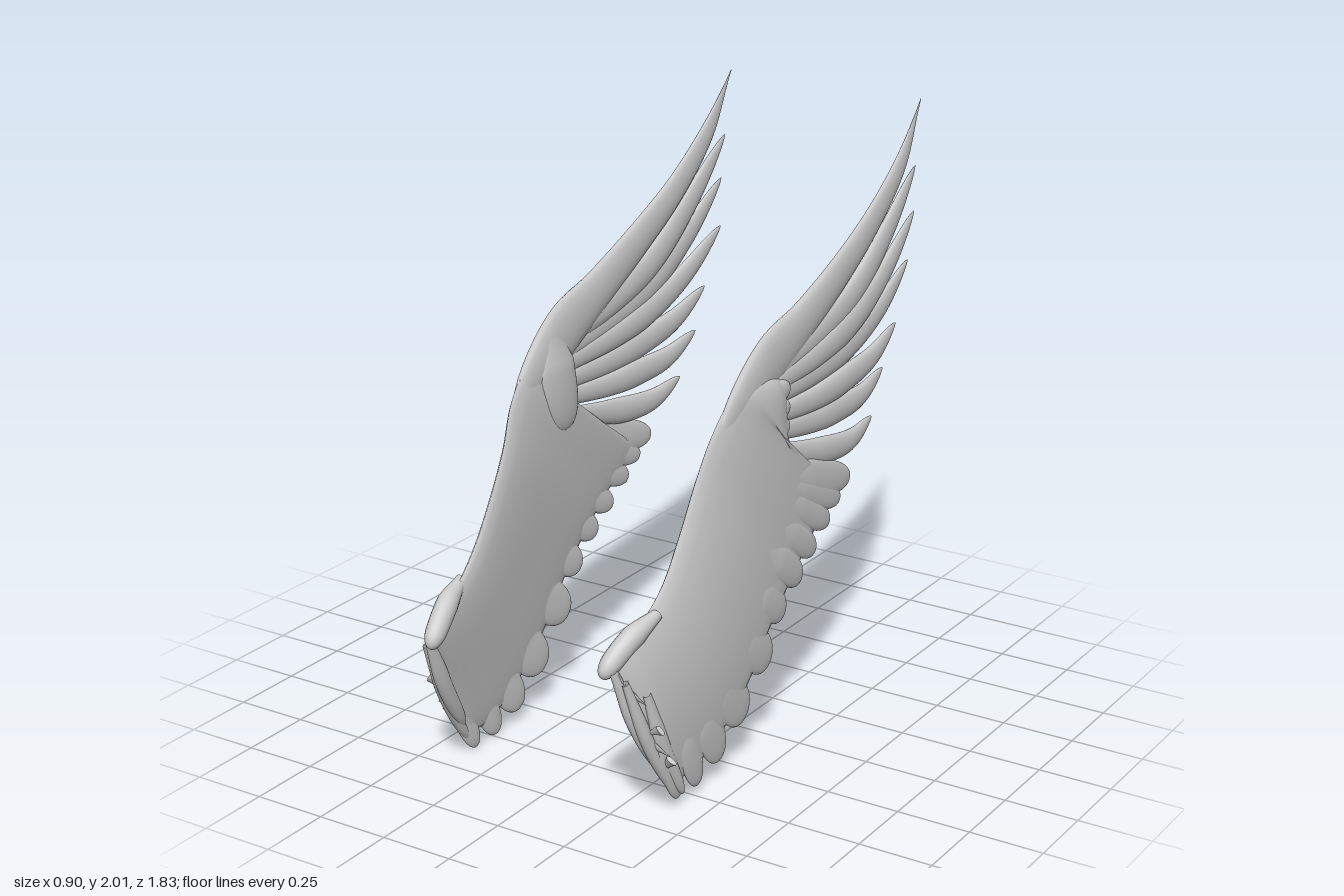
import * as THREE from 'three';

const V = (x, y, z) => new THREE.Vector3(x, y, z);
const material = new THREE.MeshStandardMaterial({ color: 0xcccccc, side: THREE.DoubleSide });
const RING = 20;

// Skin a row of lens-shaped sections, each { lead, trail, thick, thin, camber }
function loft(sections, side) {
  const pos = [], index = [];
  for (const { lead, trail, thick, thin = 0, camber = 0 } of sections) {
    for (let j = 0; j < RING; j++) {
      const a = (j / RING) * Math.PI * 2, u = (1 - Math.cos(a)) / 2;
      const p = lead.clone().lerp(trail, u);
      const x = p.x + thick * Math.sin(a) * (1 - thin * u) + camber * Math.sin(Math.PI * u);
      pos.push(side * x, p.y, p.z);
    }
  }
  for (let i = 0; i < sections.length - 1; i++) {
    for (let j = 0; j < RING; j++) {
      const a = i * RING + j, b = i * RING + (j + 1) % RING, c = a + RING, d = b + RING;
      if (side > 0) index.push(a, b, c, b, d, c);
      else index.push(a, c, b, b, c, d);
    }
  }
  const g = new THREE.BufferGeometry();
  g.setAttribute('position', new THREE.Float32BufferAttribute(pos, 3));
  g.setIndex(index);
  g.computeVertexNormals();
  return g;
}

// Flat feather following a path; width(t) is the half width
function blade(points, width, thick, side, steps = 28) {
  const curve = new THREE.CatmullRomCurve3(points);
  const sections = [];
  for (let i = 0; i <= steps; i++) {
    const t = 1 - (1 - i / steps) ** 1.4;
    const c = curve.getPoint(t), d = curve.getTangent(t);
    const n = V(0, -d.z, d.y).normalize(), w = width(t);
    sections.push({
      lead: c.clone().addScaledVector(n, w),
      trail: c.clone().addScaledVector(n, -w),
      thick: thick * Math.min(1, w / width(0.4)),
    });
  }
  return loft(sections, side);
}

const pointed = (w) => (t) => w * Math.min(1, 0.6 + t) * Math.pow(Math.max(0, 1 - t ** 4.5), 0.7);
const blunt = (w) => (t) => w * Math.min(1, 0.5 + 1.5 * t) * Math.sqrt(Math.max(0, 1 - t ** 5));

function buildWing(side) {
  const wing = new THREE.Group();
  const add = (name, geometry) => {
    const m = new THREE.Mesh(geometry, material);
    m.name = name;
    wing.add(m);
    return m;
  };

  // Covert panel: leading and trailing edge from the root to the wrist
  const leadEdge = new THREE.CatmullRomCurve3([
    V(0.32, 0.56, 0.86), V(0.335, 0.63, 0.78), V(0.345, 0.67, 0.68), V(0.352, 0.74, 0.6),
    V(0.355, 0.87, 0.51), V(0.36, 1.03, 0.42), V(0.375, 1.15, 0.36), V(0.385, 1.23, 0.29),
    V(0.395, 1.27, 0.2), V(0.405, 1.275, 0.1), V(0.41, 1.25, 0.01)]);
  const trailEdge = new THREE.CatmullRomCurve3([
    V(0.395, 0.1, 0.64), V(0.4, 0.08, 0.53), V(0.41, 0.13, 0.39), V(0.42, 0.25, 0.22),
    V(0.425, 0.41, 0.08), V(0.428, 0.53, -0.04), V(0.428, 0.64, -0.17), V(0.425, 0.77, -0.32),
    V(0.425, 0.95, -0.06), V(0.42, 1.07, -0.02), V(0.42, 1.18, -0.02)]);
  const panel = [];
  for (let i = 0; i <= 60; i++) {
    const t = i / 60;
    const close = Math.sqrt(Math.max(0, Math.min(1, t * 14, (1 - t) * 12)));
    panel.push({
      lead: leadEdge.getPoint(t), trail: trailEdge.getPoint(t),
      thick: 0.042 * close, thin: 0.55, camber: 0.016 * (1 - t),
    });
  }
  add('covertPanel', loft(panel, side));

  // Scalloped secondaries, buried in the panel until their tips: [start y, z, tip y, z, half width]
  [[0.3, 0.7, 0.02, 0.58, 0.045], [0.28, 0.58, 0.02, 0.47, 0.055], [0.3, 0.49, 0.06, 0.34, 0.07],
    [0.38, 0.4, 0.15, 0.2, 0.085], [0.48, 0.27, 0.29, 0.06, 0.08], [0.6, 0.17, 0.43, -0.02, 0.065],
    [0.7, 0.1, 0.52, -0.12, 0.06], [0.77, 0.04, 0.59, -0.21, 0.055], [0.85, 0.0, 0.66, -0.3, 0.055],
    [0.9, 0.0, 0.72, -0.37, 0.055], [0.92, 0.0, 0.775, -0.435, 0.065]].forEach(([y0, z0, y1, z1, w], i) => {
    const x = 0.398 + 0.005 * Math.min(6, i);
    add('secondaryFeather', blade([V(x + 0.002, y0, z0), V(x + 0.002, (y0 + y1) / 2 - 0.005, (z0 + z1) / 2),
      V(x, y1, z1)], blunt(w), 0.014, side, 18));
  });

  // Leading primary, broad at the wrist and drawn out to the wing tip
  const wide = new THREE.SplineCurve([0.015, 0.07, 0.1, 0.08, 0.066, 0.054, 0.038, 0.002]
    .map((w, i) => new THREE.Vector2(i / 7, w)));
  add('leadingPrimary', blade([V(0.38, 1.06, 0.37), V(0.388, 1.19, 0.24), V(0.398, 1.31, 0.06), V(0.405, 1.39, -0.13),
    V(0.41, 1.5, -0.36), V(0.41, 1.625, -0.58), V(0.41, 1.78, -0.77), V(0.405, 1.97, -0.91)],
  (t) => wide.getPoint(t).y, 0.026, side, 44));

  // Fanned primaries: [base y, mid y, mid z, tip y, tip z, half width]
  [[1.27, 1.415, -0.46, 1.75, -0.875, 0.057], [1.23, 1.33, -0.46, 1.597, -0.86, 0.055],
    [1.19, 1.245, -0.45, 1.43, -0.84, 0.053], [1.13, 1.135, -0.42, 1.232, -0.75, 0.051],
    [1.075, 1.035, -0.38, 1.09, -0.68, 0.049], [1.01, 0.915, -0.32, 0.943, -0.595, 0.048]].forEach(
    ([y0, y1, z1, y2, z2, w], i) => {
      const x = 0.41 + 0.008 * (i % 2);
      add('primaryFeather', blade([V(0.405, y0, 0.05), V(x, (y0 + y1) / 2 - 0.012, z1 / 2), V(x + 0.004, y1, z1),
        V(x + 0.004, (y1 + y2) / 2 - 0.022, (z1 + z2) / 2), V(x, y2, z2)], pointed(w), 0.02, side));
    });

  // Low covert lobes over the quill bases on the outer face
  for (let i = 0; i < 4; i++) {
    const y = 1.21 - i * 0.062;
    add('wristCovert', blade([V(0.405, y + 0.01, 0.14), V(0.418, y, 0.05), V(0.422, y - 0.005, -0.035)],
      blunt(0.042), 0.018, side, 14));
  }

  // Tongue-shaped covert patch on the inner face
  add('innerCovert', blade([V(0.385, 1.32, 0.13), V(0.375, 1.16, 0.12), V(0.378, 0.98, 0.07)],
    blunt(0.09), 0.026, side, 20));

  // Rounded shoulder at the root, running into the leading edge
  add('shoulder', blade([V(0.362, 0.66, 0.65), V(0.34, 0.62, 0.745), V(0.318, 0.56, 0.83), V(0.31, 0.52, 0.875)],
    blunt(0.04), 0.036, side, 20));

  // Slim feathers folded along the root edge
  [[0.335, 0.54, 0.85, 0.385, 0.13, 0.65, 0.03], [0.365, 0.5, 0.83, 0.4, 0.06, 0.62, 0.025],
    [0.39, 0.44, 0.75, 0.408, 0.03, 0.57, 0.03]].forEach(([x0, y0, z0, x1, y1, z1, w]) => {
    add('rootFeather', blade([V(x0, y0, z0), V((x0 + x1) / 2, (y0 + y1) / 2 - 0.02, (z0 + z1) / 2 + 0.005),
      V(x1, y1, z1)], blunt(w), 0.02, side, 18));
  });

  // Ragged tufts down the root edge
  [[0.35, 0.49, 0.82, 0.5], [0.38, 0.44, 0.79, 0.9], [0.405, 0.31, 0.74, -1.0],
    [0.415, 0.24, 0.71, 1.0], [0.41, 0.17, 0.67, -0.7]].forEach(([x, y, z, turn]) => {
    const tuft = add('rootTuft', new THREE.ConeGeometry(0.02, 0.08, 8));
    tuft.scale.z = 0.45;
    tuft.position.set(side * x, y, z);
    tuft.rotation.set(0.4, 0, side * (Math.PI + turn));
  });
  return wing;
}

export function createModel() {
  const model = new THREE.Group();
  model.name = 'wingPair';
  const left = buildWing(1);
  left.name = 'leftWing';

  // The opposite wing is mirrored and swung slightly about its shoulder
  const right = new THREE.Group();
  right.name = 'rightWing';
  const inner = buildWing(-1);
  inner.position.set(0.35, -0.56, -0.87);
  right.add(inner);
  right.position.set(-0.355, 0.52, 0.905);
  right.rotation.set(0.043, -0.075, 0);

  model.add(left, right);
  return model;
}
